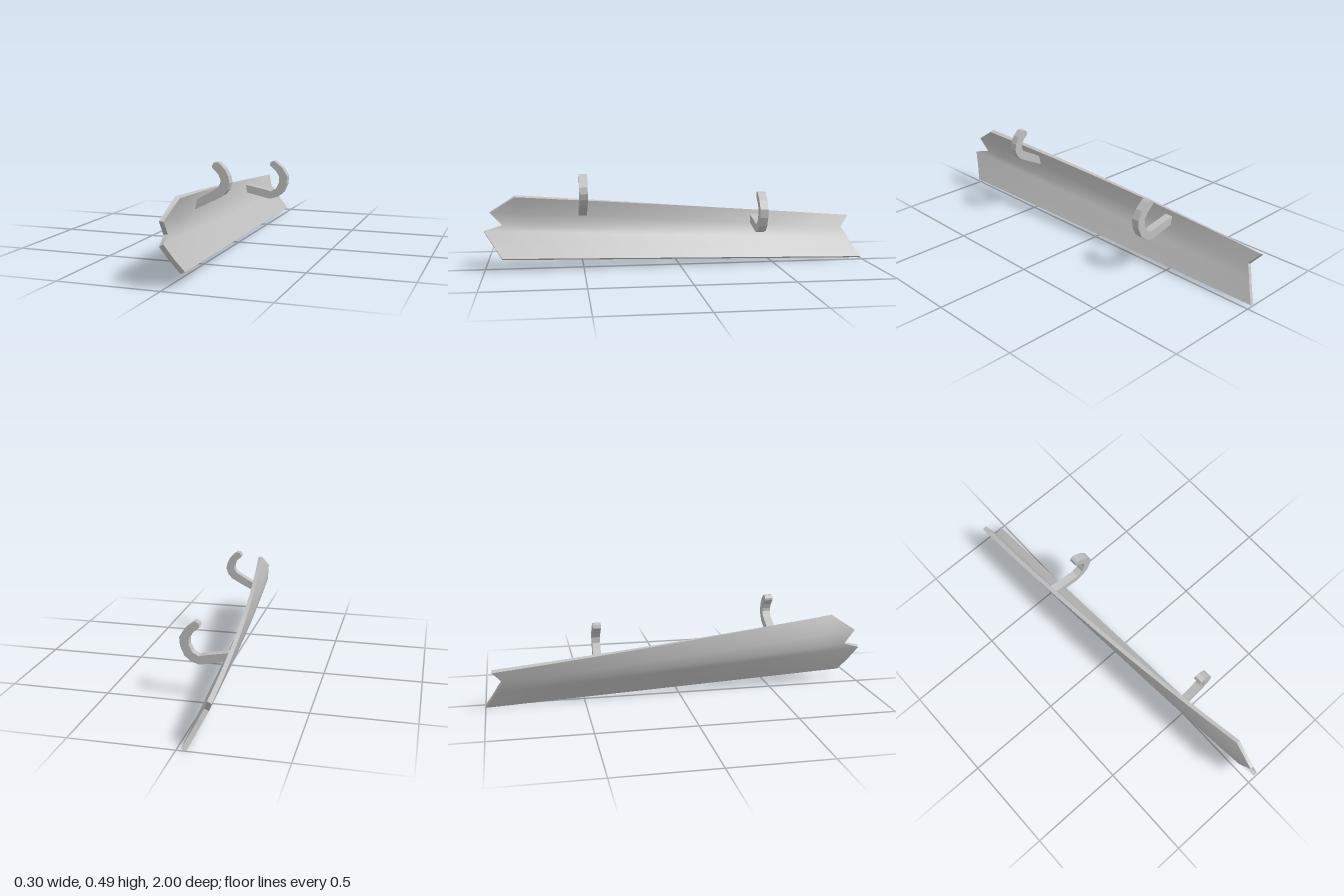
import * as THREE from 'three';

// Outer-face corners of the notched ends, from the lower edge to the upper edge
const FRONT = [[0.055, 0.06, 0.91], [0.024, 0.125, 0.955], [-0.003, 0.195, 1], [-0.022, 0.225, 0.91], [-0.015, 0.297, 0.97], [0.005, 0.383, 0.84]];
const BACK = [[-0.045, 0.002, -1], [-0.07, 0.05, -0.97], [-0.093, 0.095, -0.945], [-0.103, 0.115, -0.935], [-0.124, 0.157, -0.91], [-0.15, 0.215, -0.96]];
const LIFT = [0.01, 0.01, 0.01, 0.005, -0.002, -0.008]; // tilt of the thickness at the front
const ROWS = FRONT.length, COLS = 13;

// Point on the curved plate; side 0 is the outer face, 1 the inner face
function platePoint(i, j, side) {
  const t = j / (COLS - 1);
  const p = new THREE.Vector3(...BACK[i]).lerp(new THREE.Vector3(...FRONT[i]), t);
  p.x -= 0.027 * (i / (ROWS - 1)) * 4 * t * (1 - t);
  p.x += side * 0.021;
  p.y += side * THREE.MathUtils.lerp(0.01, LIFT[i], t);
  return p;
}

function geometryFrom(points, index) {
  const g = new THREE.BufferGeometry().setFromPoints(points);
  if (index) g.setIndex(index);
  g.computeVertexNormals();
  return g;
}

// Smooth broad face
function plateFace(side) {
  const points = [], index = [];
  for (let i = 0; i < ROWS; i++) for (let j = 0; j < COLS; j++) {
    points.push(platePoint(i, j, side));
    if (i === ROWS - 1 || j === COLS - 1) continue;
    const a = i * COLS + j, b = a + COLS, c = a + 1, d = b + 1;
    if (side) index.push(a, b, d, a, d, c);
    else index.push(a, d, b, a, c, d);
  }
  return geometryFrom(points, index);
}

// Flat rim around the whole outline
function plateRim() {
  const loop = [], points = [];
  for (let j = 0; j < COLS - 1; j++) loop.push([0, j]);
  for (let i = 0; i < ROWS - 1; i++) loop.push([i, COLS - 1]);
  for (let j = COLS - 1; j > 0; j--) loop.push([ROWS - 1, j]);
  for (let i = ROWS - 1; i > 0; i--) loop.push([i, 0]);
  loop.forEach((p, k) => {
    const q = loop[(k + 1) % loop.length];
    const op = platePoint(...p, 0), ip = platePoint(...p, 1);
    const oq = platePoint(...q, 0), iq = platePoint(...q, 1);
    points.push(op, iq, oq, op, ip, iq);
  });
  return geometryFrom(points);
}

// Hook outlines in the xy plane
const FRONT_HOOK = [[-0.045, 0.262], [0.06, 0.315], [0.105, 0.34], [0.128, 0.367], [0.137, 0.398], [0.131, 0.43], [0.112, 0.465], [0.082, 0.493], [0.06, 0.492], [0.052, 0.478], [0.053, 0.467], [0.083, 0.437], [0.092, 0.415], [0.092, 0.4], [0.083, 0.38], [0.07, 0.37], [0.015, 0.338], [-0.038, 0.31]];
const BACK_HOOK = [[-0.103, 0.203], [0.03, 0.174], [0.05, 0.172], [0.09, 0.185], [0.122, 0.212], [0.143, 0.26], [0.146, 0.305], [0.12, 0.348], [0.08, 0.381], [0.065, 0.388], [0.05, 0.38], [0.045, 0.362], [0.085, 0.325], [0.1, 0.3], [0.1, 0.27], [0.082, 0.232], [0.05, 0.214], [0.02, 0.222], [-0.118, 0.248]];

function hookGeometry(outline, z) {
  const shape = new THREE.Shape(outline.map(([x, y]) => new THREE.Vector2(x, y)));
  return new THREE.ExtrudeGeometry(shape, { depth: 0.042, bevelEnabled: false }).translate(0, 0, z - 0.021);
}

export function createModel() {
  const group = new THREE.Group();
  const grey = new THREE.MeshStandardMaterial({ color: 0xc0c0c0 });
  grey.name = 'grey';
  const add = (name, geometry) => {
    const mesh = new THREE.Mesh(geometry, grey);
    mesh.name = name;
    group.add(mesh);
  };
  add('plateOuterFace', plateFace(0));
  add('plateInnerFace', plateFace(1));
  add('plateRim', plateRim());
  add('frontHook', hookGeometry(FRONT_HOOK, 0.5));
  add('backHook', hookGeometry(BACK_HOOK, -0.42));
  return group;
}
